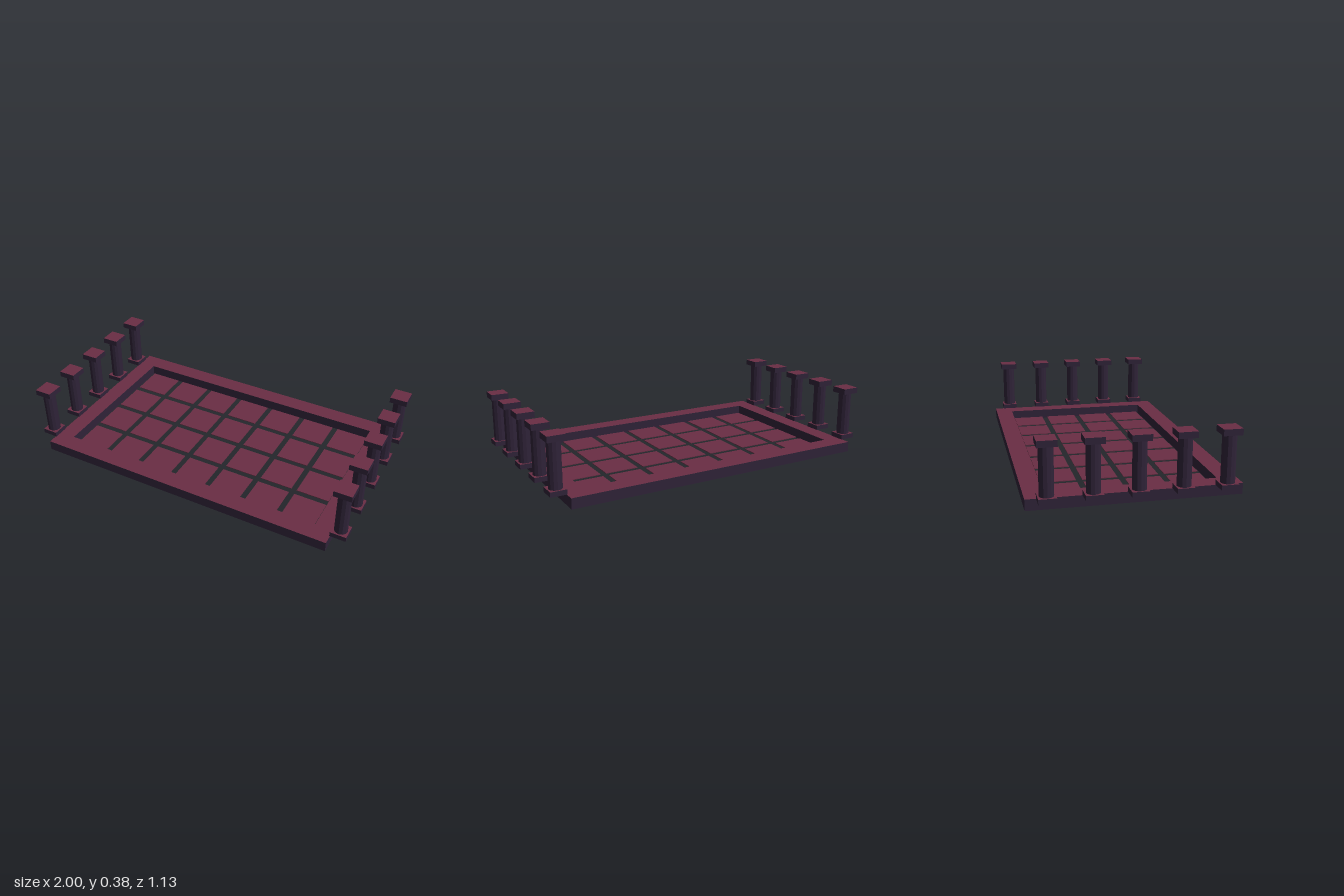
import * as THREE from 'three';

export function createModel() {
  const model = new THREE.Group();
  const maroon = new THREE.MeshStandardMaterial({ color: 0x6a2e44 });
  maroon.name = 'maroon';
  const dark = new THREE.MeshStandardMaterial({ color: 0x2f2338 });
  dark.name = 'dark plum';
  // box faces: +x, -x, +y, -y, +z, -z; only the upper face is maroon
  const topped = [dark, dark, maroon, dark, dark, dark];

  function add(parent, name, geometry, material, x, y, z) {
    const mesh = new THREE.Mesh(geometry, material);
    mesh.name = name;
    mesh.position.set(x, y, z);
    parent.add(mesh);
    return mesh;
  }

  // Rectangular frame with a mitre-free ring outline
  const rect = (path, w, d) => {
    path.moveTo(-w, -d);
    path.lineTo(w, -d);
    path.lineTo(w, d);
    path.lineTo(-w, d);
    path.closePath();
    return path;
  };
  const ring = rect(new THREE.Shape(), 0.907, 0.565);
  ring.holes.push(rect(new THREE.Path(), 0.805, 0.46));
  const frameGeo = new THREE.ExtrudeGeometry(ring, { depth: 0.058, bevelEnabled: false });
  frameGeo.rotateX(-Math.PI / 2);
  add(model, 'frame', frameGeo, dark, 0, 0, 0);

  // Maroon upper surface of the frame
  const topGeo = new THREE.ExtrudeGeometry(ring, { depth: 0.002, bevelEnabled: false });
  topGeo.rotateX(-Math.PI / 2);
  add(model, 'frameTop', topGeo, [maroon, dark], 0, 0.058, 0);

  // Floor of separate square tiles
  const floor = new THREE.Group();
  floor.name = 'floorTiles';
  model.add(floor);
  const tileGeo = new THREE.BoxGeometry(0.196, 0.004, 0.196);
  for (let i = -3; i <= 3; i++) {
    for (let j = -1.5; j <= 1.5; j++) {
      add(floor, 'tile', tileGeo, maroon, i * 0.23, 0.012, j * 0.23);
    }
  }

  // Rows of columns along both short sides
  const baseGeo = new THREE.BoxGeometry(0.092, 0.028, 0.092);
  const shaftGeo = new THREE.CylinderGeometry(0.038, 0.038, 0.26, 12).toNonIndexed();
  shaftGeo.computeVertexNormals();
  const capGeo = new THREE.BoxGeometry(0.102, 0.034, 0.102);
  for (const side of [-1, 1]) {
    for (let k = -2; k <= 2; k++) {
      const column = new THREE.Group();
      column.name = side > 0 ? 'leftColumn' : 'rightColumn';
      column.position.set(side * 0.949, 0, k * 0.231);
      add(column, 'base', baseGeo, topped, 0, 0.074, 0);
      add(column, 'shaft', shaftGeo, dark, 0, 0.217, 0);
      add(column, 'capital', capGeo, topped, 0, 0.363, 0);
      model.add(column);
    }
  }
  return model;
}
